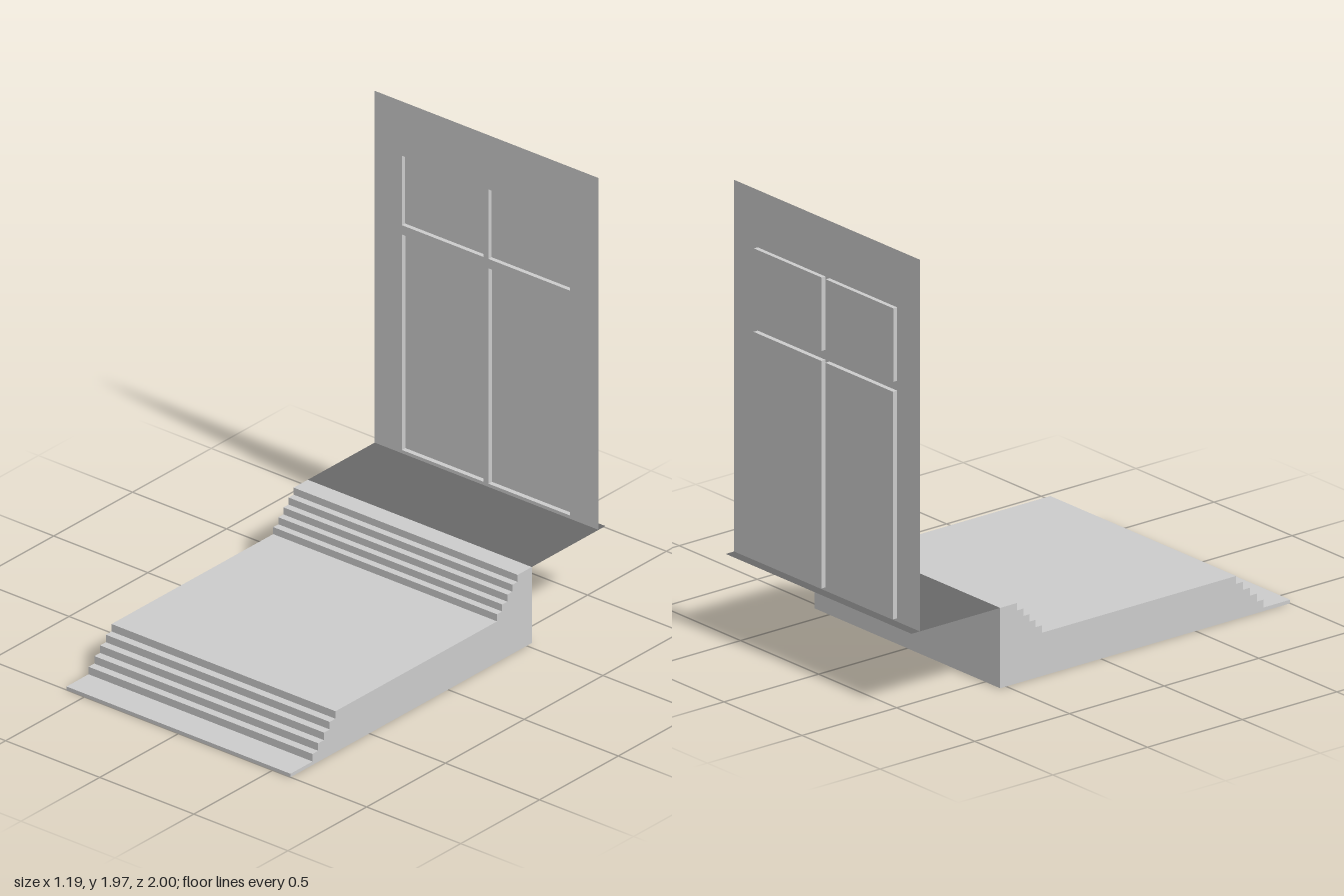
import * as THREE from 'three';

const HALF = 0.595;     // half width of the whole entrance
const FLOOR_Y = 0.35;   // landing height
const WALL_Z = -0.956;

const grey = new THREE.MeshStandardMaterial({ color: 0xcccccc, side: THREE.DoubleSide });
const dark = new THREE.MeshStandardMaterial({ color: 0x686868, side: THREE.DoubleSide });

function add(parent, name, geometry, material = grey) {
  const mesh = new THREE.Mesh(geometry, material);
  mesh.name = name;
  parent.add(mesh);
  return mesh;
}

// Side profile of the two flights and the terrace, extruded across the width
function stairsGeometry() {
  const pts = [[1, 0], [1, 0.016]];
  const flight = (zStart, yStart, rise, run, count) => {
    let y = yStart;
    for (let i = 0; i < count; i++) {
      const z = zStart - i * run;
      pts.push([z, y], [z, y += rise]);
    }
  };
  flight(0.86, 0.016, 0.0345, 0.0365, 5);
  flight(-0.312, 0.1885, 0.0323, 0.0325, 5);
  pts.push([-0.532, FLOOR_Y], [-0.532, 0]);
  const shape = new THREE.Shape(pts.map(([z, y]) => new THREE.Vector2(-z, y)));
  const geo = new THREE.ExtrudeGeometry(shape, { depth: 2 * HALF, bevelEnabled: false });
  return geo.translate(0, 0, -HALF).rotateY(Math.PI / 2);
}

// Box without its front face: a shallow recess behind an opening
function recessGeometry(w, h, d) {
  const geo = new THREE.BoxGeometry(w, h, d);
  const index = Array.from(geo.index.array);
  index.splice(24, 6);
  geo.setIndex(index);
  geo.clearGroups();
  return geo;
}

export function createModel() {
  const model = new THREE.Group();
  model.name = 'entranceSteps';

  add(model, 'stairs', stairsGeometry());

  // Thin dark landing running under the wall
  const landing = new THREE.PlaneGeometry(2 * HALF, 0.468).rotateX(-Math.PI / 2);
  add(model, 'landing', landing, dark).position.set(0, FLOOR_Y, -0.766);

  // Thin wall with four openings, each backed by a recessed panel
  const wall = new THREE.Shape([
    new THREE.Vector2(-HALF, FLOOR_Y), new THREE.Vector2(HALF, FLOOR_Y),
    new THREE.Vector2(HALF, 1.97), new THREE.Vector2(-HALF, 1.97),
  ]);
  const columns = [['right', -0.45, -0.016], ['left', 0.01, 0.444]];
  const rows = [['DoorPanel', 0.365, 1.357, 0.022], ['TransomPanel', 1.4, 1.72, 0.02]];
  for (const [side, x0, x1] of columns) {
    for (const [part, y0, y1, depth] of rows) {
      wall.holes.push(new THREE.Path([
        new THREE.Vector2(x0, y0), new THREE.Vector2(x0, y1),
        new THREE.Vector2(x1, y1), new THREE.Vector2(x1, y0),
      ]));
      add(model, side + part, recessGeometry(x1 - x0, y1 - y0, depth))
        .position.set((x0 + x1) / 2, (y0 + y1) / 2, WALL_Z - depth / 2);
    }
  }
  add(model, 'wall', new THREE.ShapeGeometry(wall)).position.z = WALL_Z;

  return model;
}
